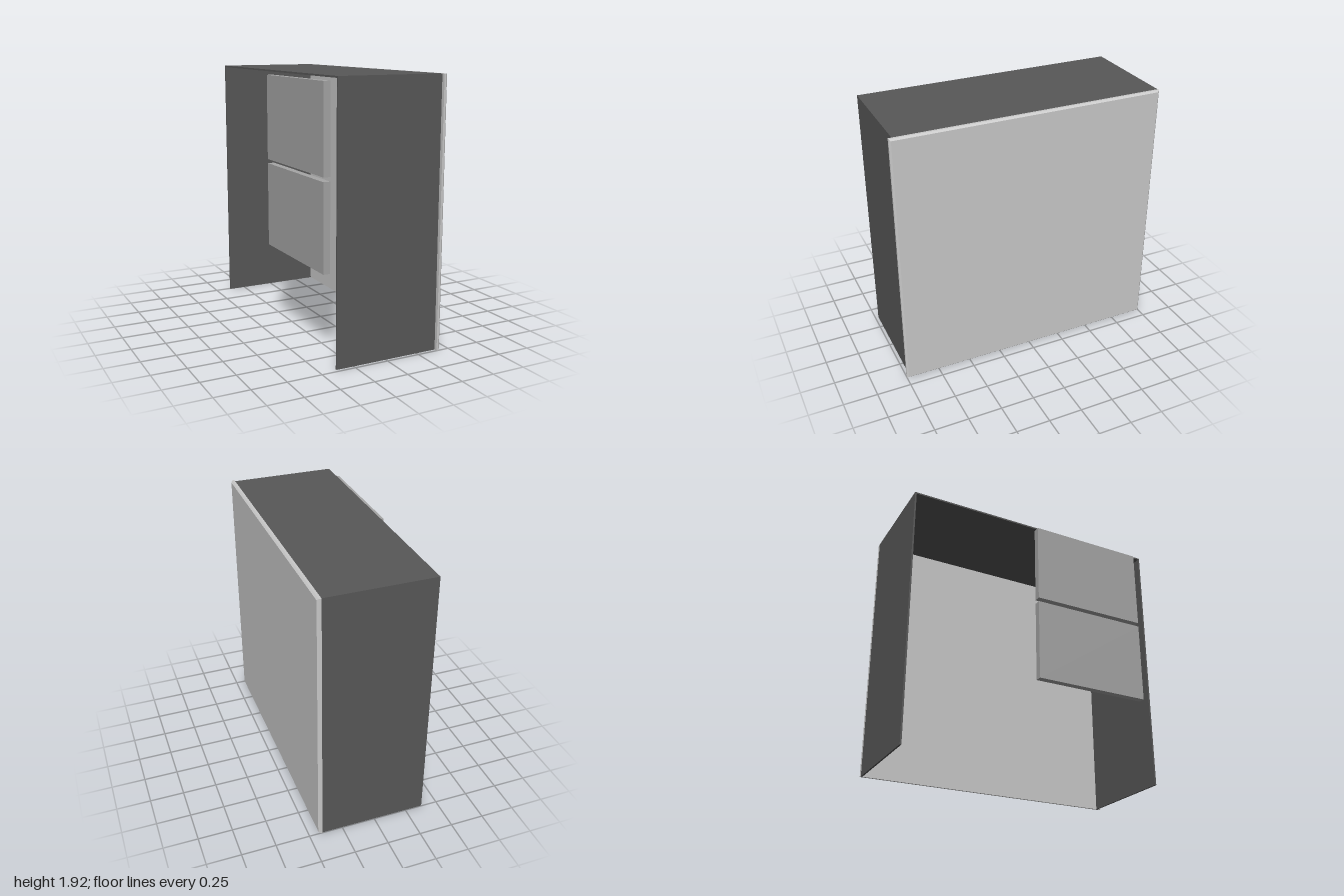
import * as THREE from 'three';

const darkGrey = new THREE.MeshStandardMaterial({ name: 'dark grey carcass', color: 0x585858 });
const lightGrey = new THREE.MeshStandardMaterial({ name: 'light grey panel', color: 0xcacaca });
const midGrey = new THREE.MeshStandardMaterial({ name: 'mid grey drawers', color: 0xa6a6a6 });

// Box given by its minimum and maximum corners
function slab(name, material, min, max) {
  const size = max.map((v, i) => v - min[i]);
  const mesh = new THREE.Mesh(new THREE.BoxGeometry(...size), material);
  mesh.name = name;
  mesh.position.set(...max.map((v, i) => (v + min[i]) / 2));
  return mesh;
}

// Slab with a chamfer all around its +x face
function chamferedPanel(name, material, min, max, chamfer) {
  const [w, h, d] = max.map((v, i) => v - min[i]);
  const box = new THREE.BoxGeometry(w, h, d, 2, 1, 1);
  const p = box.attributes.position;
  for (let i = 0; i < p.count; i++) {
    const x = p.getX(i);
    if (Math.abs(x) < 1e-6) p.setX(i, w / 2 - chamfer);
    if (x > 1e-6) {
      p.setY(i, p.getY(i) - Math.sign(p.getY(i)) * chamfer);
      p.setZ(i, p.getZ(i) - Math.sign(p.getZ(i)) * chamfer);
    }
  }
  const geometry = box.toNonIndexed();
  geometry.computeVertexNormals();
  const mesh = new THREE.Mesh(geometry, material);
  mesh.name = name;
  mesh.position.set(...max.map((v, i) => (v + min[i]) / 2));
  return mesh;
}

export function createModel() {
  const model = new THREE.Group();
  model.name = 'cabinet';
  const t = 0.012, open = -0.38, back = 0.402, height = 1.925;
  const zMin = -0.997, zMax = 0.975;

  // Thin carcass: top and two sides, open at the bottom and at -x
  model.add(
    slab('topPanel', darkGrey, [open, height - t, zMin], [back, height, zMax]),
    slab('frontSide', darkGrey, [open, 0, zMax - t], [back, height - t, zMax]),
    slab('rearSide', darkGrey, [open, 0, zMin], [back, height - t, zMin + t])
  );

  // Large chamfered panel closing the +x side
  model.add(chamferedPanel('broadPanel', lightGrey, [back, 0, -1], [0.43, height, 1], 0.012));

  // Two drawer fronts standing proud of the open side
  [[0.635, 1.25], [1.28, 1.892]].forEach(([y0, y1], i) => {
    model.add(slab(i ? 'upperDrawerFront' : 'lowerDrawerFront', midGrey,
      [-0.43, y0, -0.01], [open, y1, 0.88]));
  });
  return model;
}
